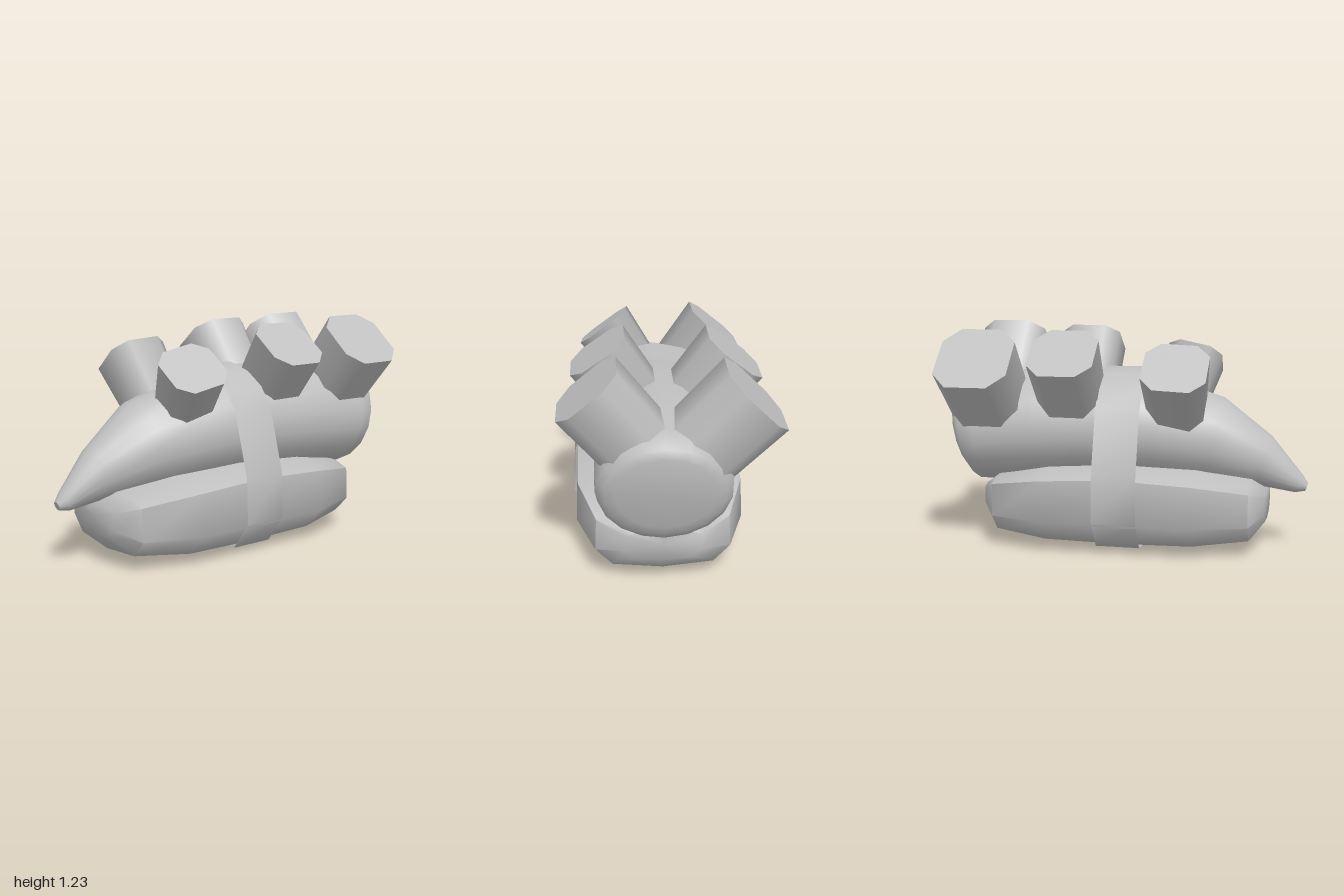
import * as THREE from 'three';
import { toCreasedNormals } from 'three/addons/utils/BufferGeometryUtils.js';

const MID_Z = 0.035;

// Skin a list of rings (each a loop of [x, y, z], turning from +y to +z), optionally closing both ends
function loft(rings, capped = true) {
  const n = rings[0].length, pos = [], index = [];
  rings.forEach(r => r.forEach(p => pos.push(...p)));
  for (let i = 0; i < rings.length - 1; i++) {
    for (let j = 0; j < n; j++) {
      const a = i * n + j, c = i * n + (j + 1) % n, b = a + n, d = c + n;
      index.push(a, c, b, c, d, b);
    }
  }
  if (capped) {
    [[0, rings[0]], [(rings.length - 1) * n, rings[rings.length - 1]]].forEach(([start, ring], end) => {
      const centre = pos.length / 3;
      pos.push(...[0, 1, 2].map(k => ring.reduce((s, p) => s + p[k], 0) / n));
      for (let j = 0; j < n; j++) {
        const a = start + j, b = start + (j + 1) % n;
        if (end) index.push(centre, a, b); else index.push(centre, b, a);
      }
    });
  }
  const g = new THREE.BufferGeometry();
  g.setAttribute('position', new THREE.Float32BufferAttribute(pos, 3));
  g.setIndex(index);
  return toCreasedNormals(g, 0.9);
}

// Close a half outline of [z, y] points, given from top to bottom, by mirroring it
function mirrorLoop(half) {
  return [...half, ...half.slice(1, -1).reverse().map(([z, y]) => [-z, y])];
}

// Curved horn-like body: top x, top y, bottom x, bottom y, half width
function bodyGeometry() {
  const sections = [
    [-1.0, 0.365, -0.985, 0.32, 0.025],
    [-0.97, 0.41, -0.93, 0.31, 0.055],
    [-0.8, 0.62, -0.72, 0.342, 0.13],
    [-0.53, 0.83, -0.45, 0.36, 0.245],
    [-0.2, 0.93, -0.15, 0.37, 0.31],
    [0.12, 0.97, 0.12, 0.37, 0.335],
    [0.5, 0.97, 0.47, 0.345, 0.345],
    [0.88, 0.94, 0.76, 0.325, 0.348],
    [0.955, 0.925, 0.85, 0.325, 0.335],
    [0.99, 0.89, 0.885, 0.365, 0.3],
    [1.0, 0.84, 0.91, 0.42, 0.25],
  ];
  return loft(sections.map(([tx, ty, bx, by, w]) =>
    Array.from({ length: 18 }, (_, j) => {
      const a = j / 18 * Math.PI * 2, c = Math.cos(a);
      return [(tx + bx) / 2 + c * (tx - bx) / 2, (ty + by) / 2 + c * (ty - by) / 2, MID_Z + Math.sin(a) * w];
    })));
}

// Soft faceted block below the body: x, half width, bottom y, top y
function baseGeometry() {
  const outline = mirrorLoop([[0, 1], [0.72, 0.96], [0.975, 0.87], [1, 0.35], [0.75, 0.08], [0, 0]]);
  const sections = [
    [-0.78, 0.2, 0.16, 0.33],
    [-0.7, 0.35, 0.06, 0.4],
    [-0.4, 0.447, 0.025, 0.46],
    [0, 0.455, 0.018, 0.485],
    [0.41, 0.447, 0.025, 0.46],
    [0.71, 0.35, 0.06, 0.4],
    [0.8, 0.2, 0.16, 0.33],
  ];
  return loft(sections.map(([x, w, y0, y1]) =>
    outline.map(([z, y]) => [x, y0 + y * (y1 - y0), MID_Z + z * w])));
}

// Thin strap wrapped around body and base
function bandGeometry() {
  const outline = mirrorLoop([[0, 0.99], [0.16, 0.955], [0.27, 0.89], [0.35, 0.79],
    [0.455, 0.44], [0.465, 0.2], [0.35, 0.04], [0, 0]]);
  return loft([-0.12, 0.12].map(x => outline.map(([z, y]) => [x, y, MID_Z + z])), false);
}

// Eight-sided stub shaped like a square with cut corners
function stubGeometry(radius, length, taper) {
  const g = new THREE.CylinderGeometry(1, taper, length, 8, 1, false, Math.PI / 8);
  const p = g.attributes.position;
  for (let i = 0; i < p.count; i++) {
    let x = p.getX(i), z = p.getZ(i);
    if (Math.abs(x) < Math.abs(z)) x *= 1.35; else z *= 1.35;
    p.setXYZ(i, x * radius / 0.924, p.getY(i) - length / 2, z * radius / 0.924);
  }
  return g;
}

export function createModel() {
  const group = new THREE.Group();
  const grey = new THREE.MeshStandardMaterial({ color: 0xc0c0c0 });
  grey.name = 'grey';
  grey.side = THREE.DoubleSide;

  const add = (name, geometry) => {
    const mesh = new THREE.Mesh(geometry, grey);
    mesh.name = name;
    group.add(mesh);
    return mesh;
  };

  add('body', bodyGeometry());
  add('base', baseGeometry());
  add('band', bandGeometry());

  // Stubs: name, centre of the outer face, axis, radius, length, taper
  const stubs = [
    ['frontSmallStub', [-0.335, 1.025, 0.31], [-0.2, 0.8, 0.58], 0.158, 0.38, 0.82],
    ['backSmallStub', [-0.31, 1.02, -0.32], [-0.05, 0.76, -0.63], 0.172, 0.38, 0.85],
    ['frontMiddleStub', [0.28, 1.11, 0.35], [0, 0.82, 0.57], 0.17, 0.44, 0.9],
    ['backMiddleStub', [0.285, 1.09, -0.36], [0, 0.78, -0.62], 0.178, 0.44, 0.92],
    ['frontLargeStub', [0.765, 1.108, 0.405], [0, 0.77, 0.63], 0.188, 0.46, 0.95],
    ['backLargeStub', [0.76, 1.06, -0.41], [0, 0.71, -0.7], 0.204, 0.46, 0.95],
  ];
  const up = new THREE.Vector3(0, 1, 0);
  for (const [name, at, axis, radius, length, taper] of stubs) {
    const stub = add(name, stubGeometry(radius, length, taper));
    stub.position.set(...at);
    stub.quaternion.setFromUnitVectors(up, new THREE.Vector3(...axis).normalize());
  }
  return group;
}
